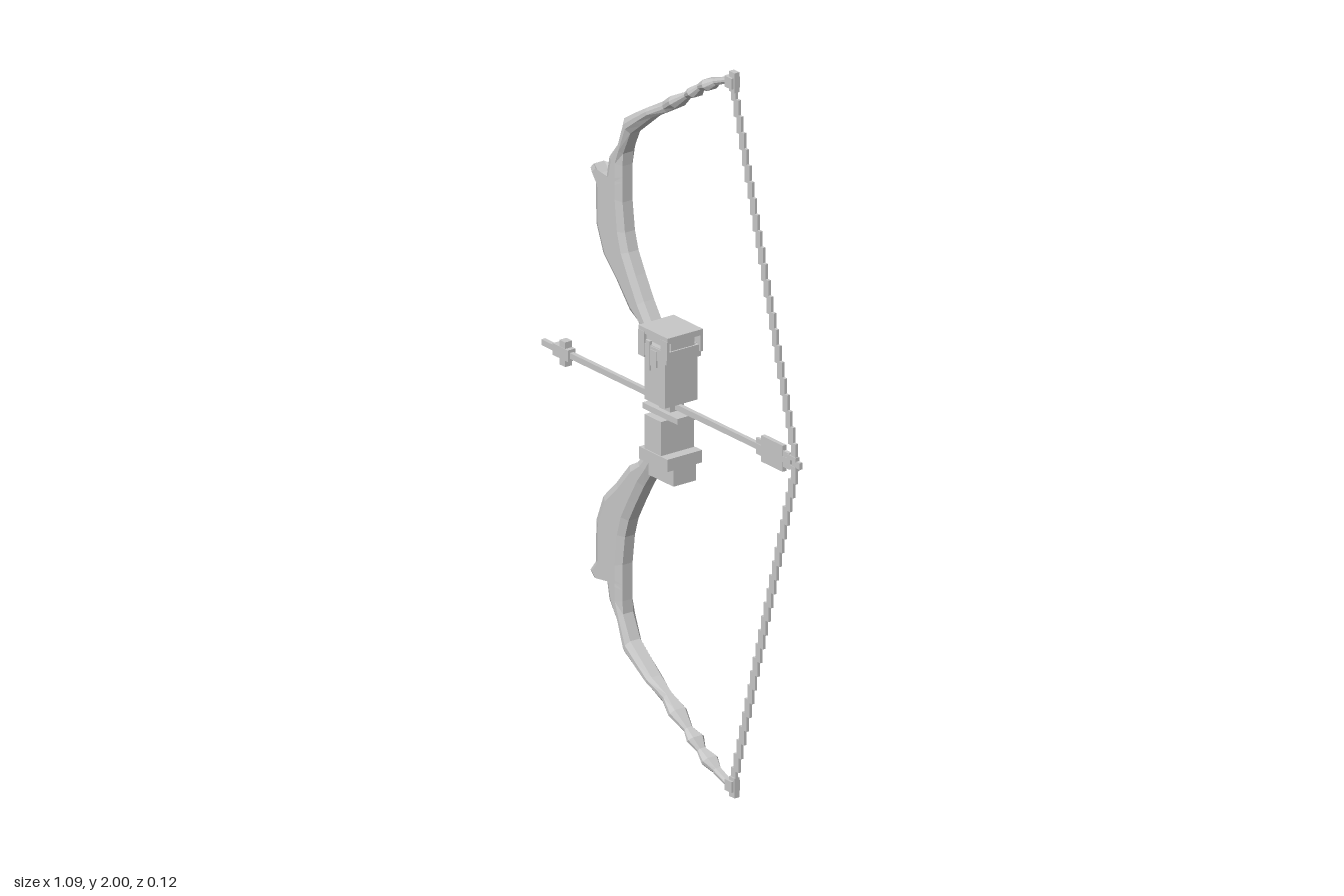
import * as THREE from 'three';

const grey = new THREE.MeshStandardMaterial({ color: 0xc8c8c8 });
grey.name = 'plain grey';

// Box from its limits in x and y and its half depth in z
function box(parent, name, x0, x1, y0, y1, hz) {
  const mesh = new THREE.Mesh(new THREE.BoxGeometry(x1 - x0, y1 - y0, hz * 2), grey);
  mesh.position.set((x0 + x1) / 2, (y0 + y1) / 2, 0);
  mesh.name = name;
  parent.add(mesh);
  return mesh;
}

// Limb stations: outer x, outer y, inner x, inner y, half depth
const STATIONS = [
  [-0.07, 1.13, -0.045, 1.17, 0.026],
  [-0.125, 1.195, -0.065, 1.205, 0.027],
  [-0.16, 1.215, -0.1, 1.255, 0.027],
  [-0.215, 1.28, -0.135, 1.315, 0.027],
  [-0.27, 1.335, -0.165, 1.37, 0.027],
  [-0.3, 1.41, -0.18, 1.42, 0.027],
  [-0.302, 1.525, -0.19, 1.5, 0.027],
  [-0.325, 1.555, -0.19, 1.525, 0.027],
  [-0.31, 1.57, -0.19, 1.54, 0.027],
  [-0.288, 1.55, -0.19, 1.555, 0.027],
  [-0.257, 1.55, -0.19, 1.57, 0.027],
  [-0.245, 1.61, -0.19, 1.6, 0.027],
  [-0.205, 1.66, -0.188, 1.635, 0.027],
  [-0.183, 1.735, -0.158, 1.7, 0.027],
  [-0.145, 1.76, -0.115, 1.735, 0.026],
  [-0.09, 1.793, -0.07, 1.772, 0.025],
  [-0.03, 1.828, -0.015, 1.803, 0.015],
  [0.01, 1.857, 0.03, 1.83, 0.027],
  [0.06, 1.882, 0.07, 1.868, 0.013],
  [0.085, 1.903, 0.105, 1.882, 0.025],
  [0.115, 1.922, 0.125, 1.908, 0.013],
  [0.145, 1.945, 0.165, 1.92, 0.024],
  [0.178, 1.957, 0.19, 1.942, 0.012],
  [0.24, 1.98, 0.245, 1.965, 0.011],
];

// Curved limb with chamfered edges, lofted through the stations
function limb(side) {
  const N = 8, pos = [], idx = [];
  for (const [ox, oy, ix, iy, h] of STATIONS) {
    const c = Math.min(0.02 / Math.hypot(ox - ix, oy - iy), 0.35);
    const loop = [[0, 0.6], [0, -0.6], [c, -1], [1 - c, -1], [1, -0.6], [1, 0.6], [1 - c, 1], [c, 1]];
    for (const [t, z] of loop) {
      pos.push(ix + (ox - ix) * t, 1 + side * (iy + (oy - iy) * t - 1), z * h);
    }
  }
  const tri = (a, b, c) => (side > 0 ? idx.push(a, b, c) : idx.push(a, c, b));
  const last = (STATIONS.length - 1) * N;
  for (let r = 0; r < last; r += N) {
    for (let j = 0; j < N; j++) {
      const k = (j + 1) % N;
      tri(r + j, r + k, r + N + k);
      tri(r + j, r + N + k, r + N + j);
    }
  }
  for (let j = 1; j < N - 1; j++) {
    tri(0, j + 1, j);
    tri(last, last + j, last + j + 1);
  }
  const indexed = new THREE.BufferGeometry();
  indexed.setAttribute('position', new THREE.Float32BufferAttribute(pos, 3));
  indexed.setIndex(idx);
  const geometry = indexed.toNonIndexed();
  geometry.computeVertexNormals();
  return new THREE.Mesh(geometry, grey);
}

// String half, stepped in small blocks from the limb tip to the nock
function stringHalf(side) {
  const group = new THREE.Group();
  const steps = 23, x0 = 0.26, x1 = 0.512, dy = 0.955 / steps;
  for (let i = 0; i < steps; i++) {
    const x = x0 + ((x1 - x0) * i) / (steps - 1);
    const mid = 1 + side * (0.965 - (i + 0.5) * dy);
    box(group, 'stringBlock', x - 0.01, x + 0.01, mid - dy / 2 - 0.004, mid + dy / 2 + 0.004, 0.004);
  }
  return group;
}

export function createModel() {
  const model = new THREE.Group();
  model.name = 'bowAndArrow';

  // Limbs, tips and string
  for (const side of [1, -1]) {
    const label = side > 0 ? 'upper' : 'lower';
    const l = limb(side);
    l.name = label + 'Limb';
    const s = stringHalf(side);
    s.name = label + 'String';
    model.add(l, s);
    const tip = new THREE.Group();
    tip.name = label + 'Tip';
    const ys = (a, b) => [Math.min(1 + side * a, 1 + side * b), Math.max(1 + side * a, 1 + side * b)];
    box(tip, 'tipKnot', 0.235, 0.265, ...ys(0.955, 0.985), 0.014);
    box(tip, 'tipEnd', 0.247, 0.27, ...ys(0.945, 1), 0.008);
    model.add(tip);
  }

  // Handle
  const handle = new THREE.Group();
  handle.name = 'handle';
  box(handle, 'upperGrip', -0.05, 0.036, 1.012, 1.17, 0.053);
  box(handle, 'upperCollar', -0.062, 0.046, 1.135, 1.168, 0.056);
  box(handle, 'upperNeck', -0.055, 0.042, 1.165, 1.2, 0.038);
  box(handle, 'topCap', -0.07, 0.053, 1.195, 1.211, 0.057);
  box(handle, 'gripCore', -0.03, 0.018, 0.96, 1.03, 0.022);
  box(handle, 'middlePlate', -0.082, 0.065, 0.972, 0.988, 0.035);
  box(handle, 'lowerGrip', -0.05, 0.02, 0.84, 0.97, 0.053);
  box(handle, 'lowerCollar', -0.068, 0.05, 0.842, 0.876, 0.056);
  box(handle, 'bottomCap', -0.055, 0.05, 0.797, 0.845, 0.036);
  // Stepped trim hanging below the cap, front and back
  for (const z of [0.054, -0.054]) {
    for (const [a, b, c, d] of [[-0.07, -0.045, 1.13, 1.2], [-0.04, -0.022, 1.1, 1.18],
      [-0.02, 0.005, 1.115, 1.16], [0.025, 0.052, 1.15, 1.2]]) {
      box(handle, 'trim', a, b, c, d, 0.004).position.z = z;
    }
  }
  model.add(handle);

  // Arrow
  const arrow = new THREE.Group();
  arrow.name = 'arrow';
  const centred = (name, x0, x1, hy, hz) => box(arrow, name, x0, x1, 1 - hy, 1 + hy, hz);
  centred('shaft', -0.545, 0.5, 0.008, 0.006);
  centred('headBase', -0.49, -0.425, 0.016, 0.012);
  centred('headBarb', -0.462, -0.438, 0.034, 0.011);
  centred('fletchingFront', 0.355, 0.385, 0.022, 0.004);
  centred('fletching', 0.38, 0.47, 0.036, 0.006);
  centred('nock', 0.465, 0.495, 0.022, 0.005);
  for (const s of [1, -1]) {
    box(arrow, 'nockFork', 0.49, 0.525, 1 + s * 0.013 - 0.006, 1 + s * 0.013 + 0.006, 0.006);
  }
  centred('stringKnot', 0.508, 0.54, 0.009, 0.005);
  model.add(arrow);

  return model;
}
